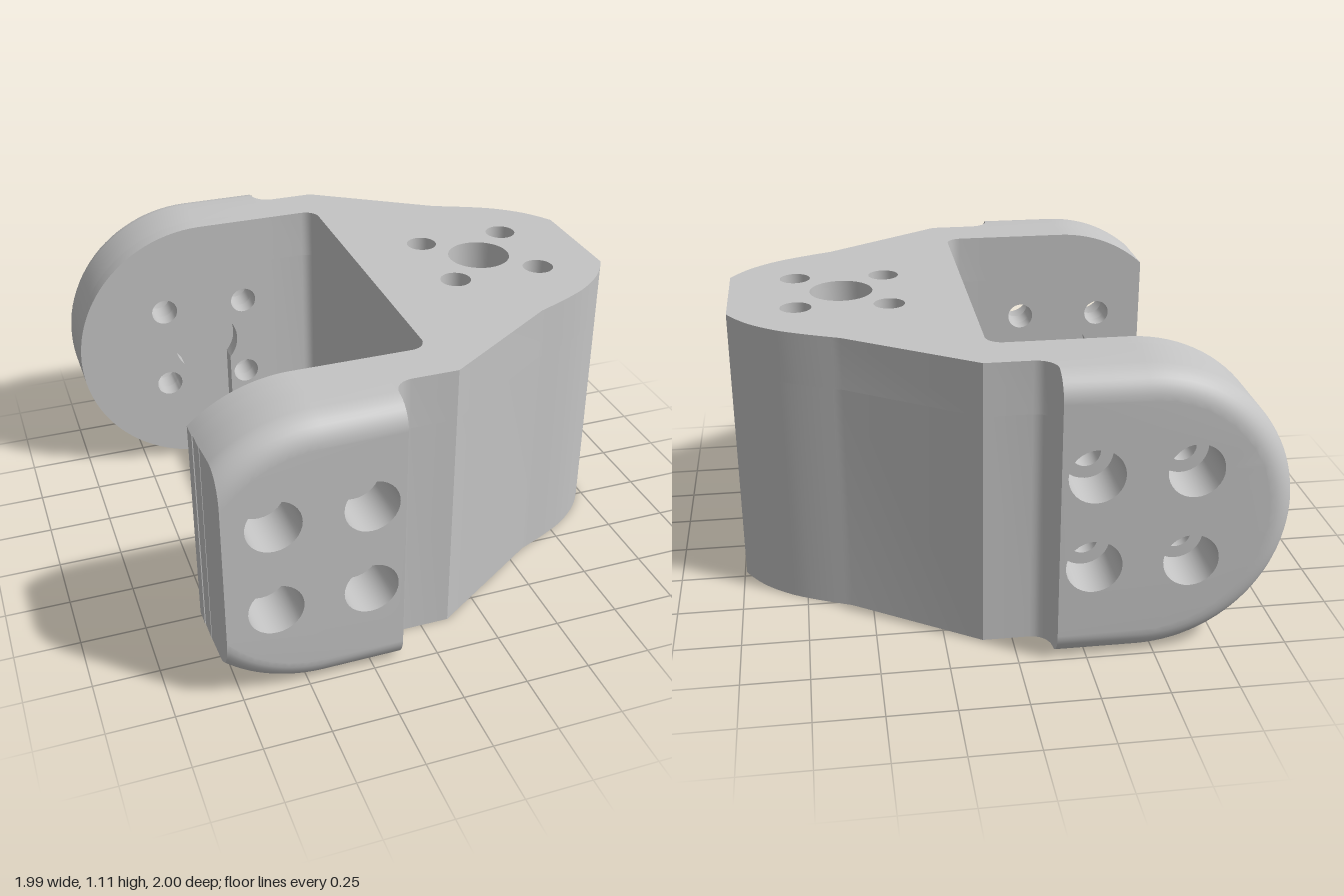
import * as THREE from 'three';
import { toCreasedNormals, mergeGeometries } from 'three/addons/utils/BufferGeometryUtils.js';

const H = 1.11, CY = H / 2, R = H / 2, CX = -0.44, ROOT = -0.14; // height and ear circle
const CROWN = 0.2;                                              // thickness above the bore
const V = (x, y) => new THREE.Vector2(x, y);

// points on an arc, angles in degrees
function arc(cx, cy, r, from, to, n) {
  return Array.from({ length: n + 1 }, (_, i) => {
    const a = THREE.MathUtils.degToRad(from + (to - from) * i / n);
    return V(cx + r * Math.cos(a), cy + r * Math.sin(a));
  });
}

// outline must run anticlockwise, holes run clockwise
function withHoles(points, holes) {
  const shape = new THREE.Shape(points);
  for (const [x, y, r] of holes) shape.holes.push(new THREE.Path(arc(x, y, r, 360, 0, 32).slice(0, -1)));
  return shape;
}

const extrude = (shape, z0, z1) =>
  new THREE.ExtrudeGeometry(shape, { depth: z1 - z0, bevelEnabled: false }).translate(0, 0, z0);

// turn the triangles over
function flip(geometry) {
  const g = geometry.index ? geometry.toNonIndexed() : geometry;
  const p = g.attributes.position, a = new THREE.Vector3(), b = new THREE.Vector3();
  for (let i = 0; i < p.count; i += 3) {
    a.fromBufferAttribute(p, i + 1);
    b.fromBufferAttribute(p, i + 2);
    p.setXYZ(i + 1, b.x, b.y, b.z);
    p.setXYZ(i + 2, a.x, a.y, a.z);
  }
  return g;
}

// D-shaped ear outline; cut is the x of the trimmed flat, if any
function earOutline(r, cut) {
  const end = cut === null ? 180 : THREE.MathUtils.radToDeg(Math.acos((cut - CX) / r));
  return [V(ROOT, CY + r), ...arc(CX, CY, r, 90, end, 24),
    ...arc(CX, CY, r, 360 - end, 270, 24), V(ROOT, CY - r)];
}

// ear outline with a teardrop pocket open at the bottom
function pocketOutline(cut) {
  const w = 0.105, r = 0.14, a = THREE.MathUtils.radToDeg(Math.acos(w / r));
  const kept = earOutline(R, cut).slice(0, -1).filter(p => p.y > CY || p.x < CX - w);
  return [...kept, V(CX - w, 0.01),
    ...arc(CX, CY, r, 180 + a, 135, 10), V(CX, CY + r * Math.SQRT2),
    ...arc(CX, CY, r, 45, -a, 10), V(CX + w, 0), V(ROOT, 0)];
}

// wall through outlines of equal length, rows = [points, z]
function loft(rows) {
  const out = [];
  for (let k = 0; k + 1 < rows.length; k++) {
    const [p, z0] = rows[k], [q, z1] = rows[k + 1];
    for (let i = 0; i < p.length; i++) {
      const j = (i + 1) % p.length;
      out.push(p[i].x, p[i].y, z0, p[j].x, p[j].y, z0, q[j].x, q[j].y, z1,
        p[i].x, p[i].y, z0, q[j].x, q[j].y, z1, q[i].x, q[i].y, z1);
    }
  }
  return new THREE.BufferGeometry().setAttribute('position', new THREE.Float32BufferAttribute(out, 3));
}

export function createModel() {
  const model = new THREE.Group();
  const grey = new THREE.MeshStandardMaterial({ color: 0xc4c4c4 });
  grey.name = 'grey';

  function add(parent, name, geometries) {
    const parts = geometries.map(g => {
      const n = g.index ? g.toNonIndexed() : g;
      n.deleteAttribute('uv');
      n.deleteAttribute('normal');
      n.clearGroups();
      return n;
    });
    const mesh = new THREE.Mesh(toCreasedNormals(mergeGeometries(parts), 0.42), grey);
    mesh.name = name;
    parent.add(mesh);
  }

  // yoke body: half profile in plan, mirrored to the other side
  const nose = new THREE.SplineCurve([V(0.58, 0.527), V(0.7, 0.475), V(0.81, 0.417), V(0.9, 0.345), V(0.955, 0.28), V(0.993, 0.22)]);
  const half = [
    ...arc(0.01, 0.588, 0.06, 0, 90, 6), V(ROOT, 0.648), V(ROOT, 0.91),
    ...arc(-0.065, 0.91, 0.075, 180, 270, 6), V(0.11, 0.835),
    ...nose.getPoints(15),
  ];
  const plan = [...half.map(p => V(p.x, -p.y)), ...half.slice().reverse()];
  const stand = g => g.rotateX(-Math.PI / 2);
  const mount = [[0.557, 0, 0.123]];
  for (const x of [0.38, 0.735]) for (const z of [-0.177, 0.177]) mount.push([x, z, 0.06]);
  add(model, 'yokeBody', [stand(extrude(withHoles(plan, [[0.557, 0, 0.345]]), 0, H - CROWN))]);
  add(model, 'mountingPlate', [stand(extrude(withHoles(plan, mount), H - CROWN, H))]);

  // ears with counterbored bolt holes; only the front one is trimmed flat
  const bolts = [];
  for (const x of [-0.617, -0.265]) for (const y of [0.38, 0.735]) bolts.push([x, y]);
  const holes = r => bolts.map(([x, y]) => [x, y, r]);

  function ear(name, side, trimmed) {
    const group = new THREE.Group();
    group.name = name;
    model.add(group);
    const cut = z => trimmed ? -0.815 + (z - 0.65) * 0.045 : null;
    const place = list => side < 0 ? list.map(g => flip(g.scale(1, 1, -1))) : list;

    add(group, 'pocketLayer', place([extrude(withHoles(pocketOutline(cut(0.68)), holes(0.055)), 0.648, 0.715)]));
    add(group, 'boltSeat', place([extrude(withHoles(earOutline(R, cut(0.76)), holes(0.055)), 0.715, 0.8)]));

    // outer shell with a rounded rim
    const f = 0.1, rows = [[earOutline(R, cut(0.8)), 0.8]];
    for (let i = 0; i <= 8; i++) {
      const a = i / 8 * Math.PI / 2, z = 1 - f + f * Math.sin(a);
      rows.push([earOutline(R - f * (1 - Math.cos(a)), cut(z)), z]);
    }
    const face = new THREE.ShapeGeometry(withHoles(earOutline(R - f, cut(1)), holes(0.102))).translate(0, 0, 1);
    add(group, 'outerShell', place([loft(rows), face]));

    // counterbore walls, facing inwards
    add(group, 'counterbores', place(bolts.map(([x, y]) =>
      flip(new THREE.CylinderGeometry(0.102, 0.102, 0.2, 32, 1, true).rotateX(Math.PI / 2).translate(x, y, 0.9)))));
  }
  ear('frontEar', 1, true);
  ear('backEar', -1, false);
  return model;
}
